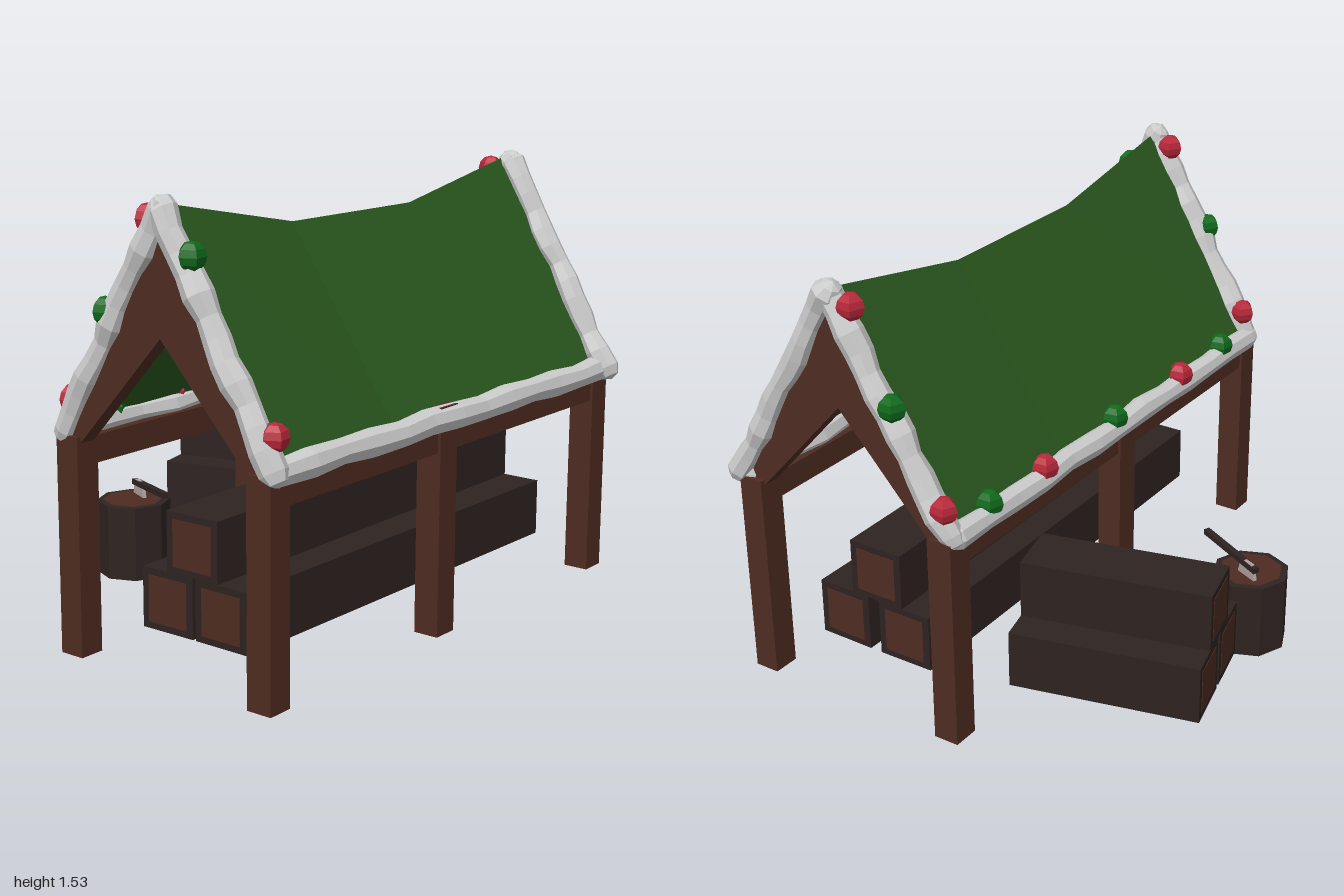
import * as THREE from 'three';

const mat = (color, extra = {}) => new THREE.MeshStandardMaterial({ color, flatShading: true, ...extra });
const WOOD = mat(0x4e2c21), BARK = mat(0x2e2321), SNOW = mat(0xcccccc), STEEL = mat(0xb0a0a0);
const RED = mat(0xb8283a), GREEN = mat(0x0f6a1c);
const ROOF = mat(0x29561e, { side: THREE.DoubleSide });

const RIDGE_X = 0.31;

function add(parent, name, geometry, material, x = 0, y = 0, z = 0) {
  const mesh = new THREE.Mesh(geometry, material);
  mesh.name = name;
  mesh.position.set(x, y, z);
  parent.add(mesh);
  return mesh;
}

// Box given by its lower and upper corners
function block(parent, name, material, a, b) {
  const s = b.map((v, i) => v - a[i]);
  return add(parent, name, new THREE.BoxGeometry(...s), material, ...a.map((v, i) => v + s[i] / 2));
}

// Lumpy snow roll between two points
function snowRoll(parent, name, from, to, seed) {
  const a = new THREE.Vector3(...from), b = new THREE.Vector3(...to);
  const length = a.distanceTo(b);
  const geo = new THREE.CapsuleGeometry(0.045, length, 2, 8, 12);
  const p = geo.attributes.position;
  for (let i = 0; i < p.count; i++) {
    const y = p.getY(i);
    const swell = 1 + 0.09 * Math.sin(y * 23 + seed) + 0.06 * Math.sin(y * 41 + seed * 2);
    p.setX(i, p.getX(i) * swell + 0.005 * Math.sin(y * 17 + seed * 3));
    p.setZ(i, p.getZ(i) * swell + 0.004 * Math.sin(y * 29 + seed));
  }
  geo.computeVertexNormals();
  const roll = add(parent, name, geo, SNOW, ...a.clone().lerp(b, 0.5).toArray());
  roll.quaternion.setFromUnitVectors(new THREE.Vector3(0, 1, 0), b.sub(a).normalize());
}

// Square log along local z with lighter cut ends
function squareLog(parent, x, y, z, length, yaw) {
  const log = new THREE.Group();
  log.name = 'log';
  add(log, 'logBark', new THREE.BoxGeometry(0.205, 0.2, length), BARK);
  add(log, 'logCutEnds', new THREE.BoxGeometry(0.155, 0.155, length + 0.004), WOOD);
  log.position.set(x, y, z);
  log.rotation.y = yaw;
  parent.add(log);
}

// Sagging two-sided roof sheet built from rows of eave, ridge, eave
function roofGeometry() {
  const rows = [[0.93, 1.5], [0.32, 1.385], [-0.32, 1.385], [-0.94, 1.5]];
  const pos = [], index = [];
  rows.forEach(([z, ridge], r) => {
    pos.push(-0.11, 0.755, z, RIDGE_X, ridge, z, 0.73, 0.755, z);
    if (r === 0) return;
    for (let k = 0; k < 2; k++) {
      const a = (r - 1) * 3 + k, c = r * 3 + k;
      index.push(a, a + 1, c + 1, a, c + 1, c);
    }
  });
  const geo = new THREE.BufferGeometry();
  geo.setAttribute('position', new THREE.Float32BufferAttribute(pos, 3));
  geo.setIndex(index);
  geo.computeVertexNormals();
  return geo;
}

export function createModel() {
  const model = new THREE.Group();
  model.name = 'woodShelter';

  // Posts and eave beams
  for (const x of [-0.12, 0.65]) {
    block(model, 'frontPost', WOOD, [x, 0.03, 0.87], [x + 0.09, 0.75, 0.96]);
    block(model, 'middlePost', WOOD, [x, 0.03, 0.005], [x + 0.09, x > 0 ? 0.8 : 0.75, 0.1]);
    block(model, 'backPost', WOOD, [x, 0.015, -0.967], [x + 0.09, 0.75, -0.872]);
    block(model, 'eaveBeam', WOOD, [x + 0.01, 0.65, -0.9], [x + 0.08, 0.74, 0.9]);
  }

  // Gable boards with a notched underside
  const gable = new THREE.Shape([
    [-0.11, 0.73], [-0.03, 0.73], [RIDGE_X, 1.1], [0.65, 0.73], [0.73, 0.73], [RIDGE_X, 1.46],
  ].map(([x, y]) => new THREE.Vector2(x, y)));
  const gableGeo = new THREE.ExtrudeGeometry(gable, { depth: 0.06, bevelEnabled: false });
  add(model, 'frontGable', gableGeo, WOOD, 0, 0, 0.885);
  add(model, 'backGable', gableGeo, WOOD, 0, 0, -0.95);

  add(model, 'roof', roofGeometry(), ROOF);

  // Snow along the gables and eaves
  [[0.93, 0], [-0.938, 0.02]].forEach(([z, shift], i) => {
    const top = [RIDGE_X + shift, 1.48, z];
    snowRoll(model, 'gableSnow', [-0.1, 0.765, z], top, 1 + i);
    snowRoll(model, 'gableSnow', [0.73 + shift, 0.76, z], top, 4 + i);
  });
  for (const x of [-0.105, 0.722]) snowRoll(model, 'eaveSnow', [x, 0.755, 0.92], [x, 0.755, -0.92], x * 9);

  // Baubles on the snow
  const bauble = new THREE.SphereGeometry(0.046, 5, 6);
  const baubles = [
    [RED, -0.09, 0.86, 0.915], [GREEN, 0.09, 1.16, 0.945], [RED, 0.245, 1.45, 0.92],
    [GREEN, 0.43, 1.355, 0.937], [RED, 0.72, 0.86, 0.915],
    [RED, -0.09, 0.86, -0.95], [GREEN, 0.09, 1.16, -0.955], [RED, 0.245, 1.45, -0.937],
    [GREEN, -0.11, 0.8, -0.745], [RED, -0.118, 0.8, -0.45], [GREEN, -0.11, 0.8, -0.015],
    [RED, -0.118, 0.8, 0.41], [GREEN, -0.11, 0.8, 0.715],
  ];
  baubles.forEach(([m, x, y, z], i) => {
    add(model, 'bauble', bauble, m, x, y, z).rotation.y = i * 1.3;
  });

  // Long logs stacked under the roof
  squareLog(model, 0.212, 0.235, 0.007, 1.645, 0.01);
  squareLog(model, 0.446, 0.235, 0.007, 1.645, -0.01);
  squareLog(model, 0.318, 0.435, 0.007, 1.645, 0.006);

  // Short logs stacked outside
  const pile = new THREE.Group();
  pile.name = 'outsideLogPile';
  for (const x of [-0.113, 0.113]) squareLog(pile, x, 0.235, 0, 0.645, 0);
  squareLog(pile, 0, 0.435, 0, 0.645, 0);
  pile.position.set(-0.4275, 0, -0.4525);
  pile.rotation.y = 0.243 + Math.PI / 2;
  model.add(pile);

  // Chopping stump with an axe in it
  add(model, 'stump', new THREE.CylinderGeometry(0.135, 0.135, 0.272, 8), BARK, -0.58, 0.136, 0.135);
  add(model, 'stumpTop', new THREE.CylinderGeometry(0.112, 0.112, 0.01, 8), WOOD, -0.58, 0.27, 0.135);
  const axe = new THREE.Group();
  axe.name = 'axe';
  add(axe, 'axeHandle', new THREE.BoxGeometry(0.295, 0.02, 0.022), BARK, 0.148, 0, 0).rotation.z = 0.06;
  const blade = new THREE.Shape([[0, -0.065], [0.1, -0.065], [0.08, 0.005], [0.02, 0.005]]
    .map(([x, y]) => new THREE.Vector2(x, y)));
  add(axe, 'axeBlade', new THREE.ExtrudeGeometry(blade, { depth: 0.014, bevelEnabled: false }), STEEL, 0, 0, -0.007);
  axe.position.set(-0.635, 0.325, 0.07);
  axe.rotation.y = -0.43;
  model.add(axe);

  return model;
}
